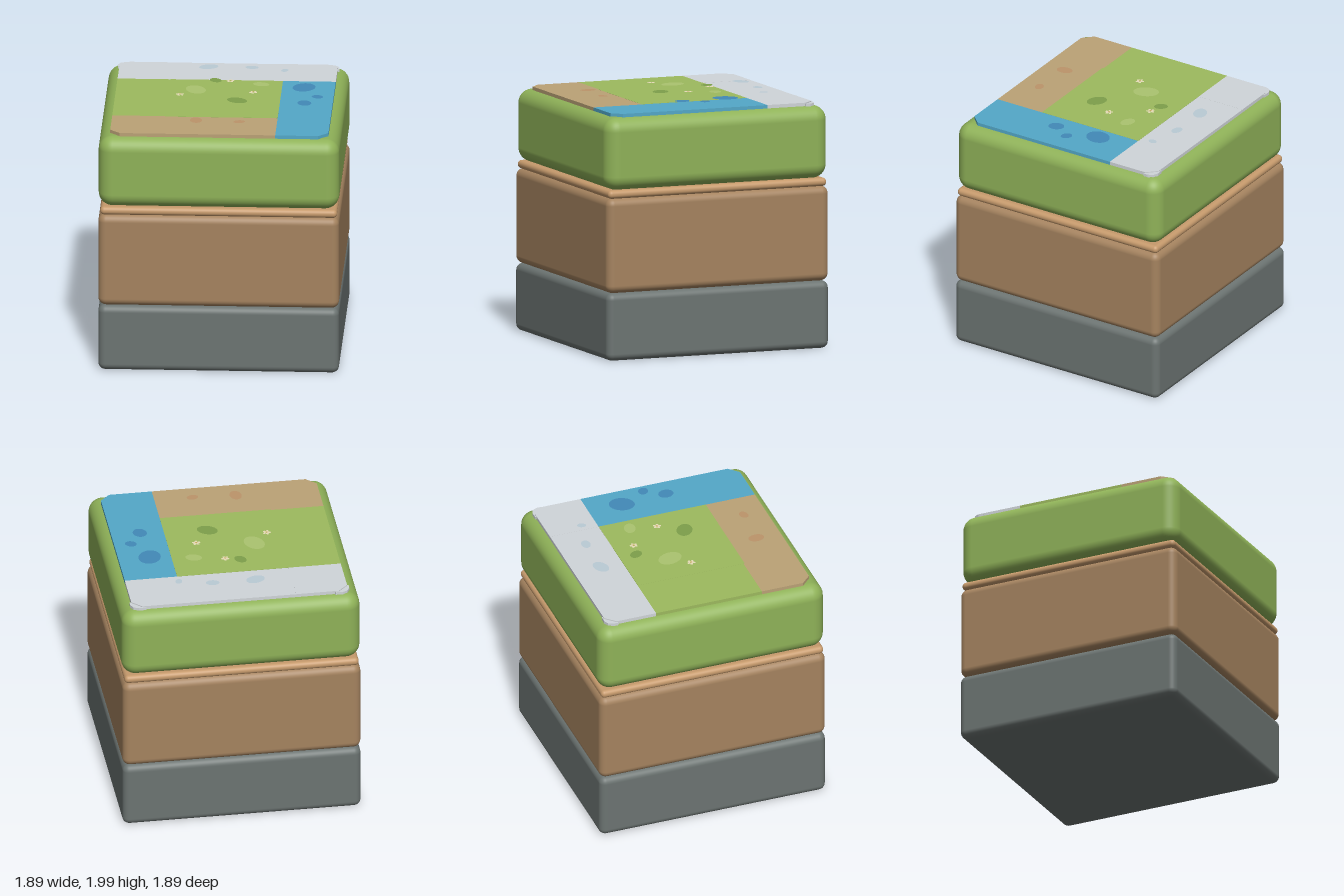
import * as THREE from 'three';
import { RoundedBoxGeometry } from 'three/addons/geometries/RoundedBoxGeometry.js';

const mat = (color) => new THREE.MeshStandardMaterial({ color, side: THREE.DoubleSide });

export function createModel() {
  const root = new THREE.Group();
  const add = (name, geometry, material, parent = root) => {
    const mesh = new THREE.Mesh(geometry, material);
    mesh.name = name;
    parent.add(mesh);
    return mesh;
  };

  // Stacked rounded layers: name, bottom, top, width, edge radius, colour
  const layers = [
    ['stoneLayer', 0, 0.535, 1.89, 0.055, 0x6c7472],
    ['earthLayer', 0.535, 1.287, 1.89, 0.06, 0xa5835f],
    ['sandBand', 1.284, 1.35, 1.86, 0.032, 0xc69a6c],
    ['grassLayer', 1.345, 1.92, 1.89, 0.11, 0x8fb258],
  ];
  for (const [name, y0, y1, width, radius, color] of layers) {
    const geometry = new RoundedBoxGeometry(width, y1 - y0, width, 5, radius);
    add(name, geometry, mat(color)).position.y = (y0 + y1) / 2;
  }

  // Flat slab seen from above; points are [x, z]
  const slab = (name, points, y0, y1, material) => {
    const shape = new THREE.Shape(points.map(([x, z]) => new THREE.Vector2(x, -z)));
    const geometry = new THREE.ExtrudeGeometry(shape, { depth: y1 - y0, bevelEnabled: false });
    geometry.rotateX(-Math.PI / 2);
    add(name, geometry, material).position.y = y0;
  };
  const E = 0.857, I = 0.442, C = 0.78; // outer edge, inner edge, corner cut
  const snow = mat(0xd0d5d9), grass = mat(0x9dba5e), water = mat(0x53a8c8), path = mat(0xbba276);
  const Y0 = 1.915, Y1 = 1.945;
  slab('snowCornerLeft', [[I, -0.45], [E, -0.45], [E, -C], [C, -E], [I, -E]], Y0, Y1, snow);
  slab('snowMiddle', [[-I, -0.45], [I, -0.45], [I, -E], [-I, -E]], Y0, Y1 - 0.001, snow);
  slab('snowCornerRight', [[-E, -0.45], [-I, -0.45], [-I, -E], [-C, -E], [-E, -C]], Y0, Y1, snow);
  slab('waterStrip', [[I, -0.45], [I, E], [C, E], [E, C], [E, -0.45]], Y0, Y1, water);
  slab('pathStrip', [[-E, 0.435], [-E, C], [-C, E], [I, E], [I, 0.435]], Y0, Y1, path);
  slab('grassTile', [[-E, -0.45], [-E, 0.435], [-I, 0.435], [-I, -0.45]], Y0, Y1, grass);
  slab('grassCentre', [[-I, -0.45], [-I, 0.445], [I, 0.445], [I, -0.45]], Y0, Y1 + 0.001, grass);

  // Rounded snow lip around the back corners
  for (const s of [-1, 1]) {
    const lip = [[s * 0.75, -0.78], [s * 0.75, -0.865], [s * 0.81, -0.868],
      [s * 0.85, -0.85], [s * 0.87, -0.81], [s * 0.87, -0.77]];
    slab(s > 0 ? 'snowLipLeft' : 'snowLipRight', lip, Y0, 1.938, snow);
  }

  // Thin oval patches hovering over the tiles: x, z, radius x, radius z, turn
  const patches = {
    snowPatch: [0xbacbd5, [[-0.15, -0.65, 0.077, 0.054, 0.35], [0.19, -0.65, 0.053, 0.037, -0.1],
      [0.45, -0.59, 0.027, 0.036, -0.3]]],
    leafPatch: [0x7d9f4b, [[-0.08, -0.33, 0.042, 0.055, 0.6], [0.11, 0.145, 0.084, 0.062, -0.5]]],
    palePatch: [0xabc46f, [[0.28, -0.25, 0.066, 0.046, -0.3], [-0.225, -0.1, 0.075, 0.102, 0.4]]],
    waterPatch: [0x4289b8, [[0.62, -0.19, 0.087, 0.102, -0.4], [0.735, 0.03, 0.047, 0.039, -0.5],
      [0.64, 0.185, 0.054, 0.063, 0.3]]],
    pathPatch: [0xbc946a, [[-0.19, 0.635, 0.047, 0.065, 0.1], [0.15, 0.655, 0.046, 0.034, 0.2]]],
  };
  for (const [name, [color, list]] of Object.entries(patches)) {
    const material = mat(color);
    for (const [x, z, rx, rz, turn] of list) {
      const geometry = new THREE.CircleGeometry(1, 32).scale(rx, rz, 1).rotateX(-Math.PI / 2);
      const patch = add(name, geometry, material);
      patch.position.set(x, 1.985, z);
      patch.rotation.y = turn;
    }
  }

  // Small five-petal flowers
  const petalMat = mat(0xe6dcb8), heartMat = mat(0xc9a85a);
  for (const [x, z, turn] of [[0.037, -0.307, 0.2], [0.227, -0.042, 0.9], [-0.343, 0.033, 0.5]]) {
    const flower = new THREE.Group();
    flower.name = 'flower';
    flower.position.set(x, 1.99, z);
    flower.rotation.y = turn;
    root.add(flower);
    for (let i = 0; i < 5; i++) {
      const geometry = new THREE.CircleGeometry(1, 14).scale(0.014, 0.011, 1).rotateX(-Math.PI / 2);
      geometry.translate(0.02, 0, 0).rotateY((i * Math.PI * 2) / 5);
      add('petal', geometry, petalMat, flower);
    }
    const heart = new THREE.CircleGeometry(0.009, 14).rotateX(-Math.PI / 2);
    add('flowerHeart', heart, heartMat, flower).position.y = 0.003;
  }
  return root;
}
